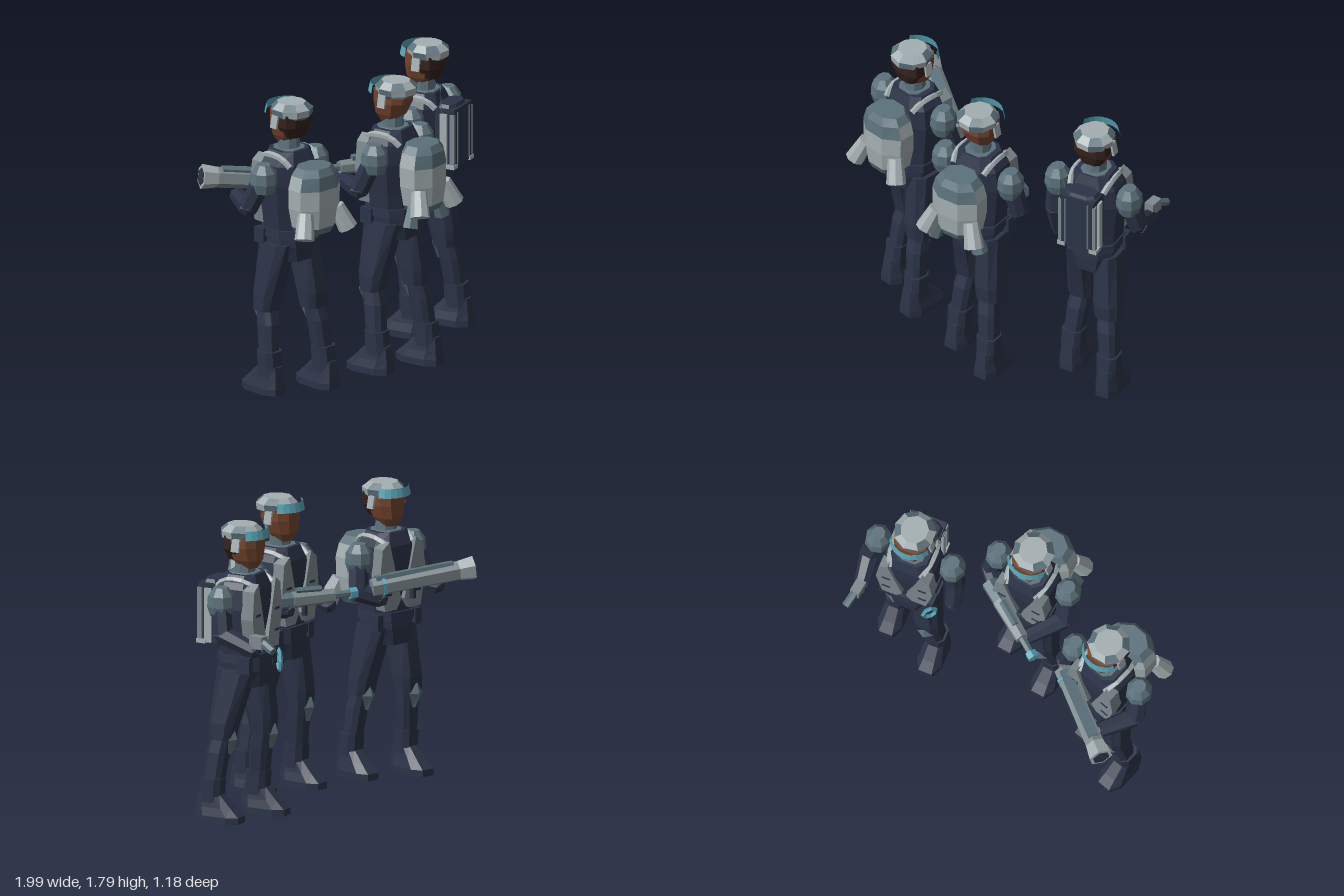
import * as THREE from 'three';

const mat = (name, color, side = THREE.FrontSide) => {
  const m = new THREE.MeshStandardMaterial({ color, flatShading: true, side });
  m.name = name;
  return m;
};
const navy = mat('navy cloth', 0x2b3347), slate = mat('slate', 0x5c717b), light = mat('light grey', 0xa4afb2),
  panel = mat('armour grey', 0x7d898e), teal = mat('teal', 0x58a3b5, THREE.DoubleSide),
  skin = mat('skin', 0x74452f), hair = mat('dark hair', 0x33211c);
const V = (p) => new THREE.Vector3(...p);

function add(parent, name, geo, material, pos) {
  const m = new THREE.Mesh(geo, material);
  m.name = name;
  if (pos) m.position.set(...pos);
  parent.add(m);
  return m;
}
const box = (parent, name, material, size, pos) => add(parent, name, new THREE.BoxGeometry(...size), material, pos);

// tapered cylinder between two points
function limb(parent, name, material, a, b, ra, rb, sides = 7) {
  const d = V(b).sub(V(a));
  const m = add(parent, name, new THREE.CylinderGeometry(rb, ra, d.length(), sides), material);
  m.position.copy(V(a).addScaledVector(d, 0.5));
  m.quaternion.setFromUnitVectors(new THREE.Vector3(0, 1, 0), d.normalize());
  return m;
}

// outlines for lofting: square with cut corners, and regular polygon
const cutSquare = (k) => [[1, -k], [1, k], [k, 1], [-k, 1], [-1, k], [-1, -k], [-k, -1], [k, -1]];
const polygon = (n) => Array.from({ length: n }, (_, i) => [Math.cos(i * 2 * Math.PI / n), Math.sin(i * 2 * Math.PI / n)]);

// stacked cross-sections [y, halfX, halfZ, centreX, centreZ], bottom to top
function loft(rings, outline = cutSquare(0.55), pick = null) {
  const pos = [], geo = new THREE.BufferGeometry(), n = outline.length;
  const at = (r, i) => [(r[3] || 0) + r[1] * outline[i % n][0], r[0], (r[4] || 0) + r[2] * outline[i % n][1]];
  const face = (material, ...pts) => {
    if (pick) geo.addGroup(pos.length / 3, pts.length, material);
    pts.forEach((p) => pos.push(...p));
  };
  for (let j = 0; j < rings.length - 1; j++) {
    const lo = rings[j], hi = rings[j + 1];
    for (let i = 0; i < n; i++) {
      face(pick ? pick(j, i) : 0, at(lo, i), at(hi, i), at(lo, i + 1), at(lo, i + 1), at(hi, i), at(hi, i + 1));
    }
  }
  const lo = rings[0], hi = rings[rings.length - 1];
  for (let i = 0; i < n; i++) {
    face(0, [lo[3] || 0, lo[0], lo[4] || 0], at(lo, i), at(lo, i + 1));
    face(0, [hi[3] || 0, hi[0], hi[4] || 0], at(hi, i + 1), at(hi, i));
  }
  geo.setAttribute('position', new THREE.Float32BufferAttribute(pos, 3));
  geo.computeVertexNormals();
  return geo;
}

function buildHead(g, hasHair) {
  add(g, 'neck', new THREE.CylinderGeometry(0.06, 0.07, 0.16, 8), slate, [0, 1.52, 0]);
  add(g, 'head', loft([[1.53, 0.045, 0.045, 0, -0.03], [1.58, 0.075, 0.085, 0, -0.015],
    [1.66, 0.1, 0.105], [1.73, 0.1, 0.105]]), skin);
  if (hasHair) add(g, 'hair', loft([[1.58, 0.065, 0.05, 0, 0.045], [1.65, 0.105, 0.065, 0, 0.05], [1.73, 0.105, 0.065, 0, 0.05]]), hair);
  // patchy cap
  add(g, 'cap', loft([[1.69, 0.1, 0.108, 0, 0.01], [1.715, 0.12, 0.125, 0, 0.025], [1.755, 0.128, 0.128, 0, 0.025],
    [1.79, 0.085, 0.09, 0, 0.02]], polygon(9), (j, i) => ((i * 4 + j * 5) % 7 < 3 ? 1 : 0)), [light, slate]);
  add(g, 'visorBand', new THREE.CylinderGeometry(0.128, 0.14, 0.055, 8, 1, true, Math.PI - 1.12, 2.24), teal, [0, 1.745, -0.01]);
  for (const s of [-1, 1]) box(g, 'earFlap', light, [0.014, 0.08, 0.052], [s * 0.118, 1.68, 0]).rotation.z = s * 0.2;
}

function buildTorso(g) {
  add(g, 'torso', loft([[0.98, 0.142, 0.12], [1.1, 0.152, 0.12], [1.3, 0.175, 0.135], [1.42, 0.16, 0.13], [1.5, 0.11, 0.1]]), navy);
  add(g, 'pelvis', loft([[0.82, 0.105, 0.13], [0.92, 0.14, 0.14], [1.0, 0.145, 0.135]]), navy);
  add(g, 'belt', loft([[0.97, 0.158, 0.145], [1.02, 0.155, 0.14]]), navy);
  add(g, 'collar', loft([[1.45, 0.1, 0.1], [1.505, 0.08, 0.085]]), slate);
  for (const s of [-1, 1]) {
    // chest plates leaving a dark V between them
    const shape = new THREE.Shape([[0.105, 1.46], [0.16, 1.42], [0.18, 1.25], [0.14, 1.04], [0.05, 1.04], [0.012, 1.1]]
      .map(([x, y]) => new THREE.Vector2(s * x, y)));
    add(g, 'chestPlate', new THREE.ExtrudeGeometry(shape, { depth: 0.08, bevelEnabled: false }), panel, [0, 0, -0.15]);
    for (const y of [1.14, 1.27]) box(g, 'plateSlot', navy, [0.05, 0.014, 0.008], [s * 0.115, y, -0.151]);
    const strap = new THREE.CatmullRomCurve3([[0.11, 1.42, 0.125], [0.125, 1.465, 0.07], [0.125, 1.47, -0.05], [0.1, 1.43, -0.13]]
      .map(([x, y, z]) => new THREE.Vector3(s * x, y, z)));
    add(g, 'shoulderStrap', new THREE.TubeGeometry(strap, 6, 0.019, 5), light);
    box(g, 'beltPouch', navy, [0.045, 0.095, 0.08], [s * 0.15, 0.965, -0.08]);
  }
}

// the -x leg steps forward, the +x leg trails
function buildLegs(g) {
  for (const [s, knee, ankle] of [[-1, -0.06, -0.01], [1, 0.08, 0.13]]) {
    const leg = new THREE.Group();
    leg.name = s < 0 ? 'forwardLeg' : 'rearLeg';
    g.add(leg);
    add(leg, 'thigh', loft([[0.5, 0.075, 0.066, s * 0.123, knee], [0.6, 0.08, 0.082, s * 0.118, knee * 0.9],
      [0.93, 0.075, 0.115, s * 0.092, 0]]), navy);
    add(leg, 'shin', loft([[0.2, 0.052, 0.055, s * 0.155, ankle], [0.42, 0.06, 0.062, s * 0.135, knee + 0.025], [0.53, 0.055, 0.055, s * 0.122, knee]]), navy);
    // four-sided pointed pad
    add(leg, 'kneePad', loft([[0.41, 0.014, 0.012, 0, 0.015], [0.5, 0.05, 0.032], [0.56, 0.02, 0.014]], polygon(4)), slate, [s * 0.125, 0, knee - 0.064]);
    add(leg, 'bootCuff', loft([[0.1, 0.062, 0.068, s * 0.155, ankle + 0.01], [0.26, 0.065, 0.066, s * 0.153, ankle]]), navy);
    add(leg, 'shoe', loft([[0, 0.077, 0.145, s * 0.155, ankle - 0.045], [0.04, 0.077, 0.145, s * 0.155, ankle - 0.045],
      [0.09, 0.066, 0.115, s * 0.155, ankle - 0.02], [0.17, 0.055, 0.07, s * 0.155, ankle + 0.015]]), navy);
  }
}

function buildArm(g, shoulder, elbow, hand) {
  const arm = new THREE.Group();
  arm.name = 'arm';
  g.add(arm);
  add(arm, 'shoulderPad', loft([[-0.09, 0.062, 0.066], [-0.03, 0.08, 0.085], [0.035, 0.076, 0.08], [0.085, 0.042, 0.045]], polygon(8)), slate, shoulder);
  limb(arm, 'upperArm', navy, shoulder, elbow, 0.062, 0.06);
  add(arm, 'elbow', new THREE.IcosahedronGeometry(0.06), navy, elbow);
  limb(arm, 'forearm', navy, elbow, hand, 0.06, 0.048);
  add(arm, 'hand', new THREE.IcosahedronGeometry(0.05), navy, hand);
}

function buildJetPack(g, lowerNozzles) {
  // barrel body; the slate crown dips lower on the outer faces
  const rings = [[1.03, 0.115, 0.09], [1.07, 0.138, 0.105], [1.19, 0.16, 0.12], [1.31, 0.162, 0.12], [1.39, 0.14, 0.11], [1.435, 0.105, 0.085]];
  const pick = (j, i) => (j === 0 || j === 4 || (j === 3 && i >= 1 && i <= 3) ? 0 : 1);
  add(g, 'jetPack', loft(rings, cutSquare(0.43), pick), [slate, light], [0, 0, 0.215]);
  for (const s of [-1, 1]) {
    limb(g, 'thruster', light, [s * 0.178, 1.03, 0.32], [s * 0.125, 1.17, 0.275], 0.06, 0.046, 8);
    if (lowerNozzles) limb(g, 'lowerNozzle', slate, [s * 0.165, 0.945, 0.24], [s * 0.12, 1.07, 0.23], 0.05, 0.035, 6);
  }
}

function buildRadioPack(g) {
  box(g, 'radioPack', navy, [0.225, 0.36, 0.13], [0, 1.25, 0.19]);
  add(g, 'packLid', loft([[1.42, 0.11, 0.065], [1.45, 0.09, 0.05]]), navy, [0, 0, 0.18]);
  for (const s of [-1, 1]) {
    box(g, 'sideRail', light, [0.022, 0.33, 0.045], [s * 0.115, 1.235, 0.185]);
    box(g, 'cornerRail', panel, [0.02, 0.33, 0.03], [s * 0.112, 1.235, 0.242]);
    box(g, 'backRail', slate, [0.01, 0.32, 0.008], [s * 0.075, 1.25, 0.257]);
    box(g, 'railFoot', light, [0.05, 0.025, 0.06], [s * 0.105, 1.075, 0.23]);
  }
  limb(g, 'antenna', slate, [-0.115, 1.38, 0.17], [-0.15, 1.6, 0.18], 0.004, 0.002, 4);
}

// point at fraction t along a weapon, raised by dy
const along = (rear, tip) => (t, dy = 0) => { const p = V(rear).lerp(V(tip), t); return [p.x, p.y + dy, p.z]; };

function buildLauncher(g) {
  const at = along([0.25, 1.2, -0.08], [-0.235, 1.285, -0.47]);
  limb(g, 'launcherTube', panel, at(0), at(0.85), 0.058, 0.063, 6);
  limb(g, 'launcherTop', slate, at(0.04, 0.034), at(0.8, 0.032), 0.044, 0.044, 4);
  limb(g, 'launcherMuzzle', light, at(0.82), at(1), 0.06, 0.076, 6);
  limb(g, 'launcherBore', navy, at(1), at(1.008), 0.054, 0.054, 6);
  limb(g, 'launcherRing', teal, at(0.1), at(0.13), 0.066, 0.066, 6);
  limb(g, 'launcherGrip', navy, at(0.4, -0.11), at(0.4), 0.022, 0.022, 5);
}

function buildRifle(g) {
  const at = along([0.23, 1.2, -0.1], [-0.23, 1.21, -0.38]);
  limb(g, 'rifleStock', slate, at(0), at(0.3), 0.052, 0.048, 6);
  limb(g, 'rifleBody', panel, at(0.25), at(0.75), 0.052, 0.042, 6);
  limb(g, 'rifleSight', slate, at(0.3, 0.055), at(0.6, 0.05), 0.022, 0.022, 5);
  limb(g, 'rifleBarrel', slate, at(0.72), at(0.97), 0.024, 0.022, 6);
  limb(g, 'rifleMuzzle', teal, at(0.94), at(1.02), 0.036, 0.036, 6);
  limb(g, 'rifleGrip', navy, at(0.4, -0.1), at(0.4), 0.02, 0.02, 5);
}

function buildPistol(g) {
  box(g, 'pistolBody', panel, [0.06, 0.075, 0.09], [0.225, 1.15, -0.265]);
  limb(g, 'pistolBarrel', slate, [0.225, 1.16, -0.28], [0.24, 1.11, -0.385], 0.025, 0.025, 6);
  // looped holster on the hip
  const ring = add(g, 'hipLoop', new THREE.TorusGeometry(0.042, 0.013, 4, 7), teal, [-0.18, 0.94, -0.12]);
  ring.scale.y = 1.45;
  ring.rotation.y = 0.85;
}

// arms are [shoulder, elbow, hand]
const squad = [
  { name: 'launcherSoldier', pos: [-0.68, 0, -0.07], yaw: -0.2, pack: (g) => buildJetPack(g, false), weapon: buildLauncher, hair: true,
    arms: [[[-0.235, 1.365, -0.02], [-0.26, 1.17, -0.11], [-0.12, 1.17, -0.29]], [[0.23, 1.365, 0.03], [0.28, 1.17, 0], [0.19, 1.12, -0.1]]] },
  { name: 'rifleSoldier', pos: [-0.005, 0, 0.21], yaw: 0, pack: (g) => buildJetPack(g, true), weapon: buildRifle, hair: false,
    arms: [[[-0.235, 1.365, 0.03], [-0.265, 1.16, -0.06], [-0.12, 1.14, -0.27]], [[0.24, 1.365, 0.03], [0.28, 1.16, 0], [0.13, 1.14, -0.15]]] },
  { name: 'radioSoldier', pos: [0.665, 0, -0.03], yaw: 0.14, pack: buildRadioPack, weapon: buildPistol, hair: true,
    arms: [[[-0.235, 1.365, 0.06], [-0.255, 1.14, 0.06], [-0.27, 0.94, 0]], [[0.24, 1.365, 0], [0.273, 1.17, -0.04], [0.225, 1.09, -0.23]]] },
];

export function createModel() {
  const model = new THREE.Group();
  model.name = 'squad';
  for (const s of squad) {
    const soldier = new THREE.Group(), body = new THREE.Group();
    soldier.name = s.name;
    body.name = 'body';
    soldier.position.set(...s.pos);
    body.rotation.y = s.yaw;
    buildHead(body, s.hair);
    buildTorso(body);
    buildLegs(body);
    s.pack(body);
    s.arms.forEach((a) => buildArm(soldier, ...a));
    s.weapon(soldier);
    soldier.add(body);
    model.add(soldier);
  }
  return model;
}
